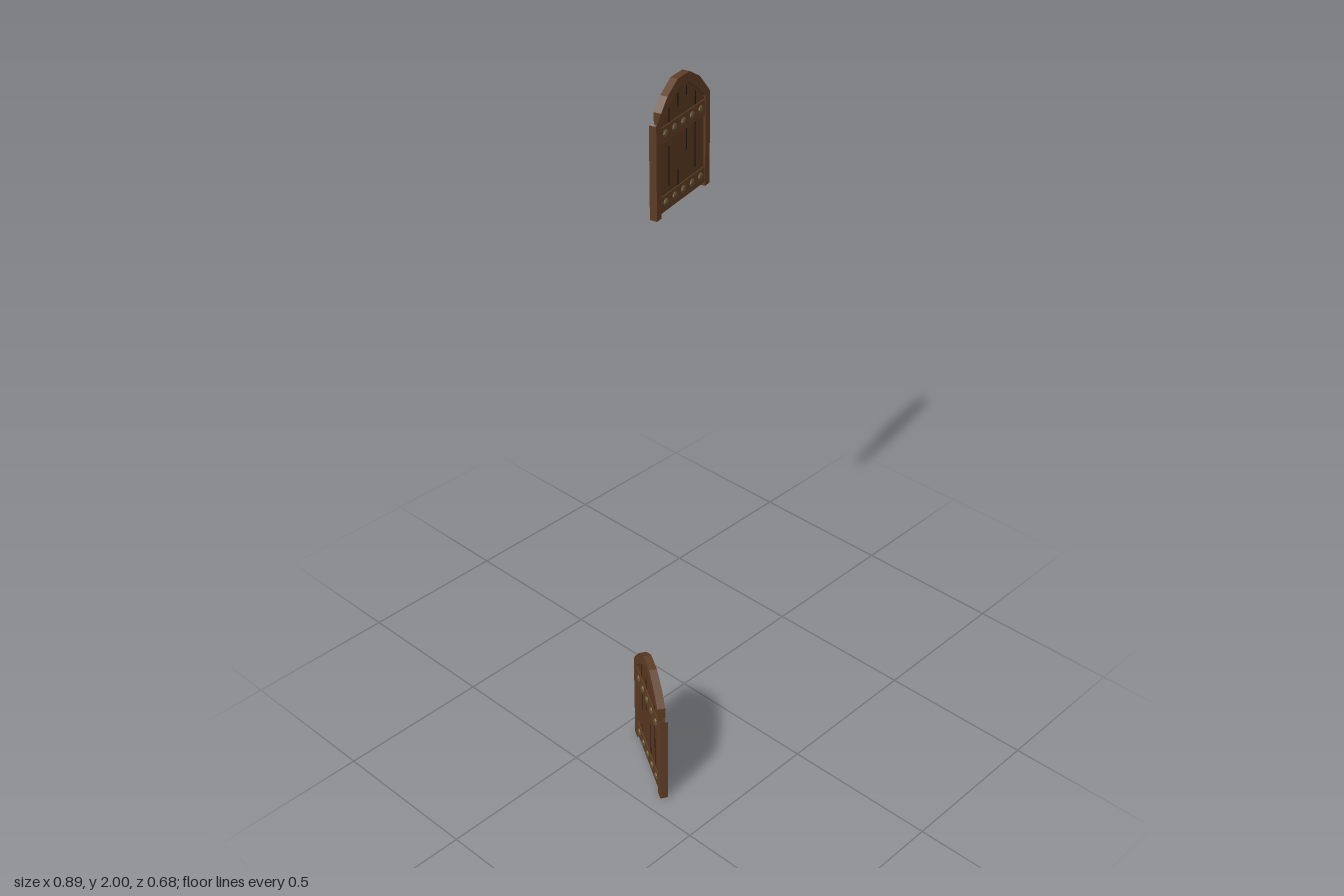
import * as THREE from 'three';

const mat = (color, extra = {}) => new THREE.MeshStandardMaterial({ color, flatShading: true, ...extra });
const frameMat = mat(0x5d3c24);
const plankMat = mat(0x583820);
const studMat = mat(0x5c4b2a);
const crackMat = mat(0x24170e);

const HALF = 0.161;    // half width of the door
const INNER = 0.133;   // half width between the jambs
const DEPTH = 0.025;
const PLANK = 0.0525;  // plank spacing
const OUTER_ARCH = [[0.133, 0.338], [0.095, 0.378], [0.035, 0.413]];
const INNER_ARCH = [[0.133, 0.3], [0.085, 0.345], [0.03, 0.382]];
const mirrorX = ([x, y]) => [-x, y];

function add(group, name, geometry, material, x = 0, y = 0, z = 0) {
  const mesh = new THREE.Mesh(geometry, material);
  mesh.name = name;
  mesh.position.set(x, y, z);
  group.add(mesh);
  return mesh;
}

// Flat outline extruded evenly about z = 0
function slab(points, depth) {
  const shape = new THREE.Shape(points.map(([x, y]) => new THREE.Vector2(x, y)));
  return new THREE.ExtrudeGeometry(shape, { depth, bevelEnabled: false }).translate(0, 0, -depth / 2);
}

// Post with a sloping, open top
function jambGeometry(side) {
  const w = HALF - INNER, xm = side * (HALF + INNER) / 2;
  const geo = new THREE.BoxGeometry(w, 1, DEPTH);
  const p = geo.attributes.position;
  for (let i = 0; i < p.count; i++) {
    const inner = p.getX(i) * side < 0;
    p.setXY(i, p.getX(i) + xm, p.getY(i) < 0 ? 0 : inner ? 0.338 : 0.307);
  }
  const index = Array.from(geo.index.array);
  index.splice(12, 6);
  geo.setIndex(index);
  return geo;
}

// Height of the inner arch at a given x
function archHeight(x) {
  const a = Math.abs(x);
  const [p, q, r] = INNER_ARCH;
  if (a <= r[0]) return r[1];
  const [s, e] = a > q[0] ? [p, q] : [q, r];
  return s[1] + (e[1] - s[1]) * (s[0] - a) / (s[0] - e[0]);
}

function createDoor(name, cracks) {
  const door = new THREE.Group();
  door.name = name;

  // Frame: two jambs and the faceted arch
  add(door, 'leftJamb', jambGeometry(1), frameMat);
  add(door, 'rightJamb', jambGeometry(-1), frameMat);
  const arch = [
    ...OUTER_ARCH, ...OUTER_ARCH.map(mirrorX).reverse(),
    ...INNER_ARCH.map(mirrorX), ...INNER_ARCH.slice().reverse(),
  ];
  add(door, 'arch', slab(arch, DEPTH), frameMat);

  // Five planks cut to follow the arch
  for (let i = -2; i <= 2; i++) {
    const x0 = (i - 0.5) * PLANK, x1 = (i + 0.5) * PLANK;
    const top = (x) => archHeight(x) - 0.004;
    add(door, 'plank', slab([[x0, 0.01], [x1, 0.01], [x1, top(x1)], [x0, top(x0)]], 0.014), plankMat);
  }

  // Cracks between planks: [seam, bottom, top]
  for (const [seam, y0, y1] of cracks) {
    add(door, 'crack', new THREE.BoxGeometry(0.006, y1 - y0, 0.0148), crackMat,
      (seam - 1.5) * PLANK, (y0 + y1) / 2);
  }

  // Cross bands with domed studs on both faces
  for (const y of [0.04, 0.263]) {
    add(door, 'band', new THREE.BoxGeometry(INNER * 2, 0.053, 0.021), frameMat, 0, y);
    for (let i = -2; i <= 2; i++) {
      for (const side of [1, -1]) {
        const dome = new THREE.SphereGeometry(0.0135, 8, 3, 0, Math.PI * 2, 0, Math.PI / 2);
        dome.scale(1, 0.6, 1).rotateX(side * Math.PI / 2);
        add(door, 'stud', dome, studMat, i * PLANK, y + 0.003, side * 0.0102);
      }
    }
  }
  return door;
}

export function createModel() {
  const model = new THREE.Group();
  model.name = 'archedDoors';

  const upper = createDoor('upperDoor', [
    [0, 0.085, 0.215], [1, 0.065, 0.12], [2, 0.165, 0.236], [3, 0.085, 0.236],
    [0, 0.29, 0.335], [1, 0.32, 0.365], [2, 0.34, 0.37], [3, 0.29, 0.335],
  ]);
  upper.position.set(0.284, 1.587, -0.288);
  upper.rotation.y = THREE.MathUtils.degToRad(13.6);

  const lower = createDoor('lowerDoor', [
    [0, 0.067, 0.236], [1, 0.067, 0.185], [2, 0.2, 0.236], [3, 0.155, 0.236], [3, 0.067, 0.1],
    [0, 0.29, 0.35], [2, 0.29, 0.325], [3, 0.29, 0.35],
  ]);
  lower.position.set(-0.354, 0, 0.193);
  lower.rotation.y = THREE.MathUtils.degToRad(59);

  model.add(upper, lower);
  return model;
}
